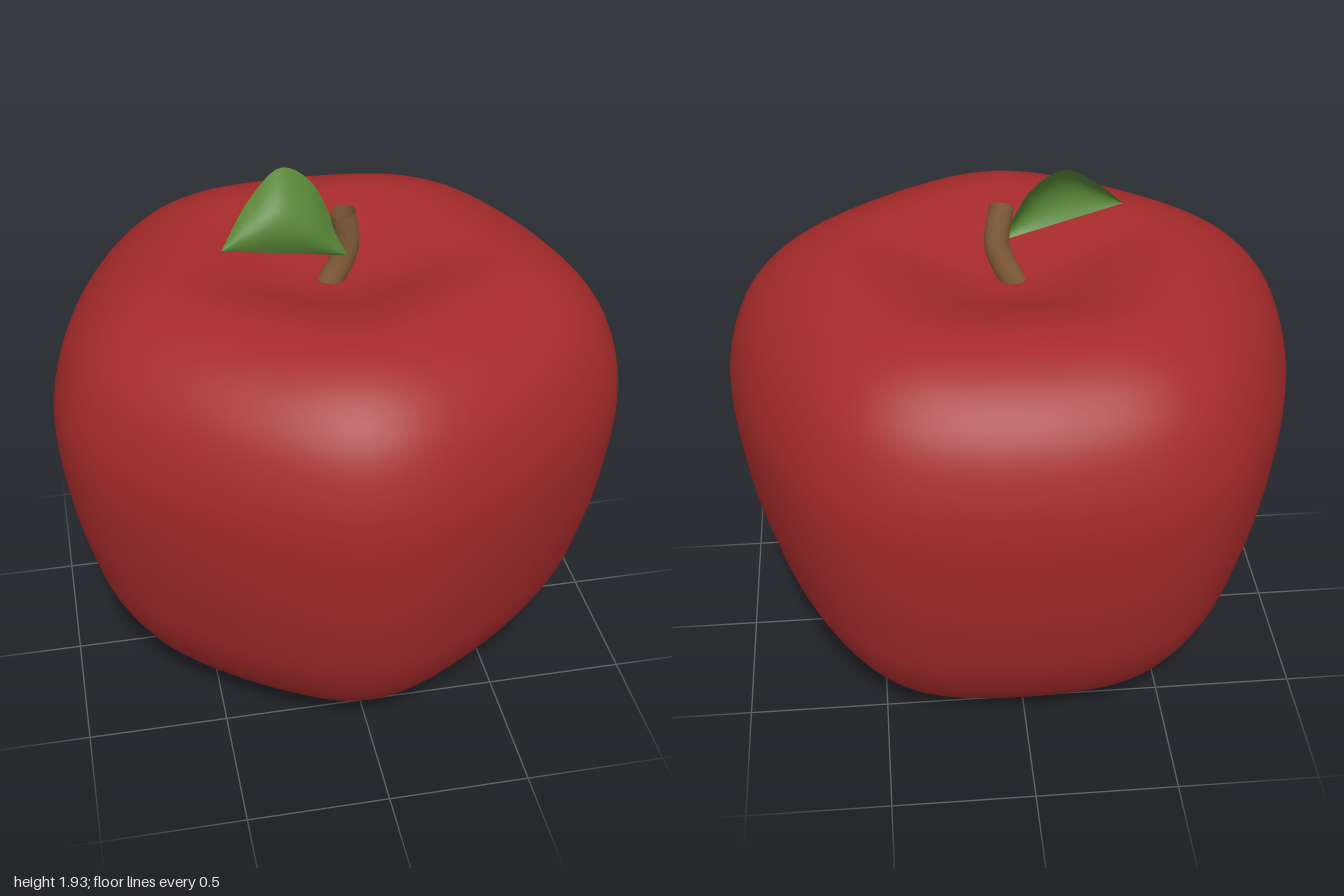
import * as THREE from 'three';
import { mergeVertices } from 'three/addons/utils/BufferGeometryUtils.js';

const red = new THREE.MeshStandardMaterial({ color: 0xa52a2a });
red.name = 'apple red';
const brown = new THREE.MeshStandardMaterial({ color: 0x825d38, side: THREE.DoubleSide });
brown.name = 'stem brown';
const green = new THREE.MeshStandardMaterial({ color: 0x578536, side: THREE.DoubleSide });
green.name = 'leaf green';

const CENTRE_Z = -0.026;
const WIDEN_X = 1.031;

function named(name, geometry, material) {
  const mesh = new THREE.Mesh(geometry, material);
  mesh.name = name;
  return mesh;
}

// Fruit: a dimpled lathe pushed out into a softly rounded pentagon
function fruitGeometry() {
  const profile = new THREE.SplineCurve([
    [0, 0.06], [0.1, 0.053], [0.2, 0.025], [0.32, 0.003], [0.42, 0.015], [0.545, 0.067], [0.705, 0.2],
    [0.828, 0.4], [0.897, 0.62], [0.939, 0.82], [0.965, 1.06], [0.952, 1.23], [0.89, 1.4],
    [0.785, 1.52], [0.66, 1.59], [0.55, 1.615], [0.45, 1.608], [0.34, 1.582], [0.22, 1.54],
    [0.11, 1.515], [0, 1.51],
  ].map(([x, y]) => new THREE.Vector2(x, y)));
  const points = profile.getSpacedPoints(72);
  points[0].x = points[72].x = 0;
  let geo = new THREE.LatheGeometry(points, 100);
  const pos = geo.attributes.position;
  for (let i = 0; i < pos.count; i++) {
    const x = pos.getX(i), z = pos.getZ(i);
    const r = Math.hypot(x, z);
    const angle = Math.atan2(x, z);
    const lobe = 0.024 * Math.cos(5 * angle) + 0.002 * Math.cos(10 * angle);
    const k = r > 1e-6 ? 1 + lobe * THREE.MathUtils.smoothstep(r, 0.05, 0.6) / r : 0;
    pos.setXYZ(i, x * k * WIDEN_X, Math.max(0, pos.getY(i)), z * k + CENTRE_Z);
  }
  // Weld the seam so the shading stays smooth
  geo.deleteAttribute('uv');
  geo.deleteAttribute('normal');
  geo = mergeVertices(geo, 1e-5);
  geo.computeVertexNormals();
  return geo;
}

// Stem: an open, bent tube
function stemGeometry() {
  const path = new THREE.CatmullRomCurve3([
    new THREE.Vector3(-0.015, 1.49, -0.022),
    new THREE.Vector3(0.03, 1.58, -0.018),
    new THREE.Vector3(0.048, 1.65, -0.012),
    new THREE.Vector3(0.03, 1.775, 0.003),
  ]);
  return new THREE.TubeGeometry(path, 16, 0.043, 16, false);
}

// Leaf: a bulging sheet from a straight lower edge, curling back to an arched upper edge
function leafGeometry() {
  const base = new THREE.Vector3(0.04, 1.625, 0.035);
  const tip = new THREE.Vector3(-0.4, 1.72, 0.1);
  const upper = new THREE.CatmullRomCurve3([
    base,
    new THREE.Vector3(0.0, 1.73, -0.025),
    new THREE.Vector3(-0.07, 1.87, -0.06),
    new THREE.Vector3(-0.17, 1.93, -0.055),
    new THREE.Vector3(-0.29, 1.85, 0.005),
    tip,
  ]);
  const geo = new THREE.PlaneGeometry(1, 1, 24, 10);
  const pos = geo.attributes.position;
  for (let i = 0; i < pos.count; i++) {
    const t = 0.5 - pos.getX(i), v = pos.getY(i) + 0.5;
    const low = base.clone().lerp(tip, t);
    const high = upper.getPoint(t);
    const p = low.clone().lerp(high, v);
    const bulge = 0.13 * v * (1 - v) * Math.sin(Math.PI * t);
    p.z = low.z + (high.z - low.z) * v ** 2.6 + bulge;
    pos.setXYZ(i, p.x, p.y, p.z);
  }
  geo.computeVertexNormals();
  return geo;
}

export function createModel() {
  const apple = new THREE.Group();
  apple.name = 'apple';
  apple.add(
    named('fruit', fruitGeometry(), red),
    named('stem', stemGeometry(), brown),
    named('leaf', leafGeometry(), green),
  );
  return apple;
}
